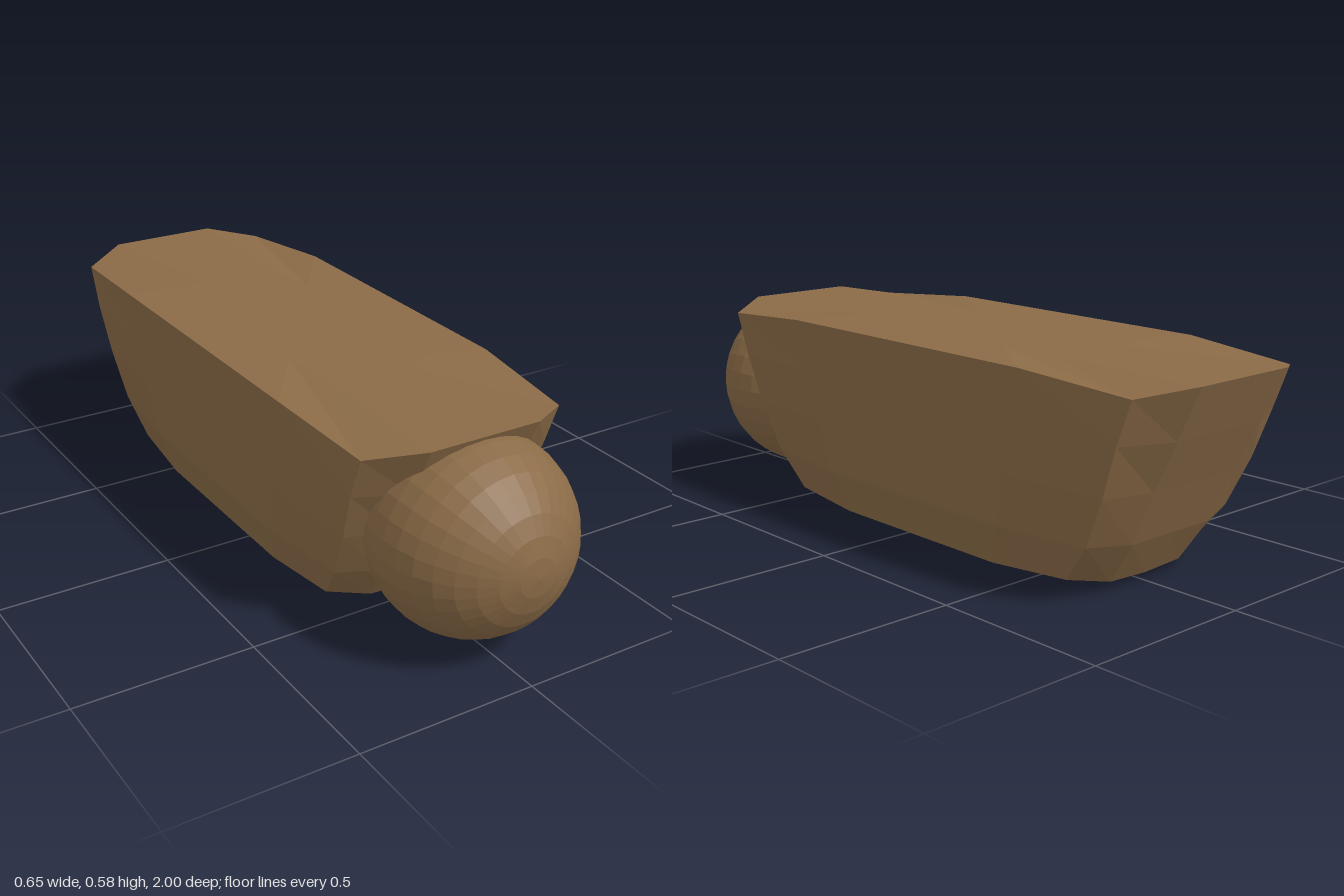
import * as THREE from 'three';

const brown = new THREE.MeshStandardMaterial({ color: 0x8b6b47, flatShading: true });
const CENTRE_Z = -0.115;

// Sixteen-point rounded-rectangle ring; the corners are pulled in and shifted in y
function ring({ y, w, l, cw, cl, dy, sideY = y }) {
  const quarter = [
    [0, y, l],
    [w * 0.5, y + (sideY - y) * 0.5, l],
    [cw, y + dy, cl],
    [w, sideY, l * 0.51],
  ];
  const half = [
    ...quarter,
    [w, sideY, 0],
    ...quarter.slice(1).reverse().map(([x, h, z]) => [x, h, -z]),
  ];
  return [...half, ...half.map(([x, h, z]) => [-x, h, -z])];
}

// Shrinks a ring towards the middle of a cap
const inset = (points, s, y) => points.map(([x, , z]) => [x * s, y, z * s]);

// Tapered hull, lofted from the flat top down to the slightly bulging underside
function hullGeometry() {
  const sides = [
    { y: 0.585, w: 0.327, l: 0.885, cw: 0.3, cl: 0.795, dy: -0.025 },
    { y: 0.44, w: 0.319, l: 0.815, cw: 0.299, cl: 0.75, dy: 0 },
    { y: 0.3, w: 0.31, l: 0.745, cw: 0.287, cl: 0.7, dy: 0 },
    { y: 0.15, w: 0.295, l: 0.675, cw: 0.27, cl: 0.635, dy: 0.01 },
    { y: 0.024, sideY: 0.036, w: 0.265, l: 0.595, cw: 0.245, cl: 0.55, dy: 0.026 },
  ].map(ring);
  const top = sides[0];
  const bottom = sides[sides.length - 1];
  const rings = [
    inset(top, 0, 0.585),
    inset(top, 0.5, 0.585),
    ...sides,
    inset(bottom, 0.5, 0.008),
    inset(bottom, 0, 0.002),
  ];
  const n = top.length;
  const index = [];
  for (let r = 0; r < rings.length - 1; r++) {
    for (let i = 0; i < n; i++) {
      const a = r * n + i;
      const b = r * n + ((i + 1) % n);
      const c = a + n;
      const d = b + n;
      if (r < rings.length - 2) index.push(a, c, d);
      if (r > 0) index.push(a, d, b);
    }
  }
  const geometry = new THREE.BufferGeometry();
  geometry.setAttribute('position', new THREE.Float32BufferAttribute(rings.flat(2), 3));
  geometry.setIndex(index);
  const flat = geometry.toNonIndexed();
  flat.computeVertexNormals();
  return flat;
}

export function createModel() {
  const model = new THREE.Group();
  model.name = 'model';

  const hull = new THREE.Mesh(hullGeometry(), brown);
  hull.name = 'body';
  hull.position.z = CENTRE_Z;
  model.add(hull);

  // Ball at the front end, with its pole facing forward
  const ball = new THREE.Mesh(new THREE.SphereGeometry(0.271, 32, 16).rotateX(Math.PI / 2), brown);
  ball.name = 'frontBall';
  ball.position.set(0, 0.307, 0.729);
  model.add(ball);

  return model;
}
